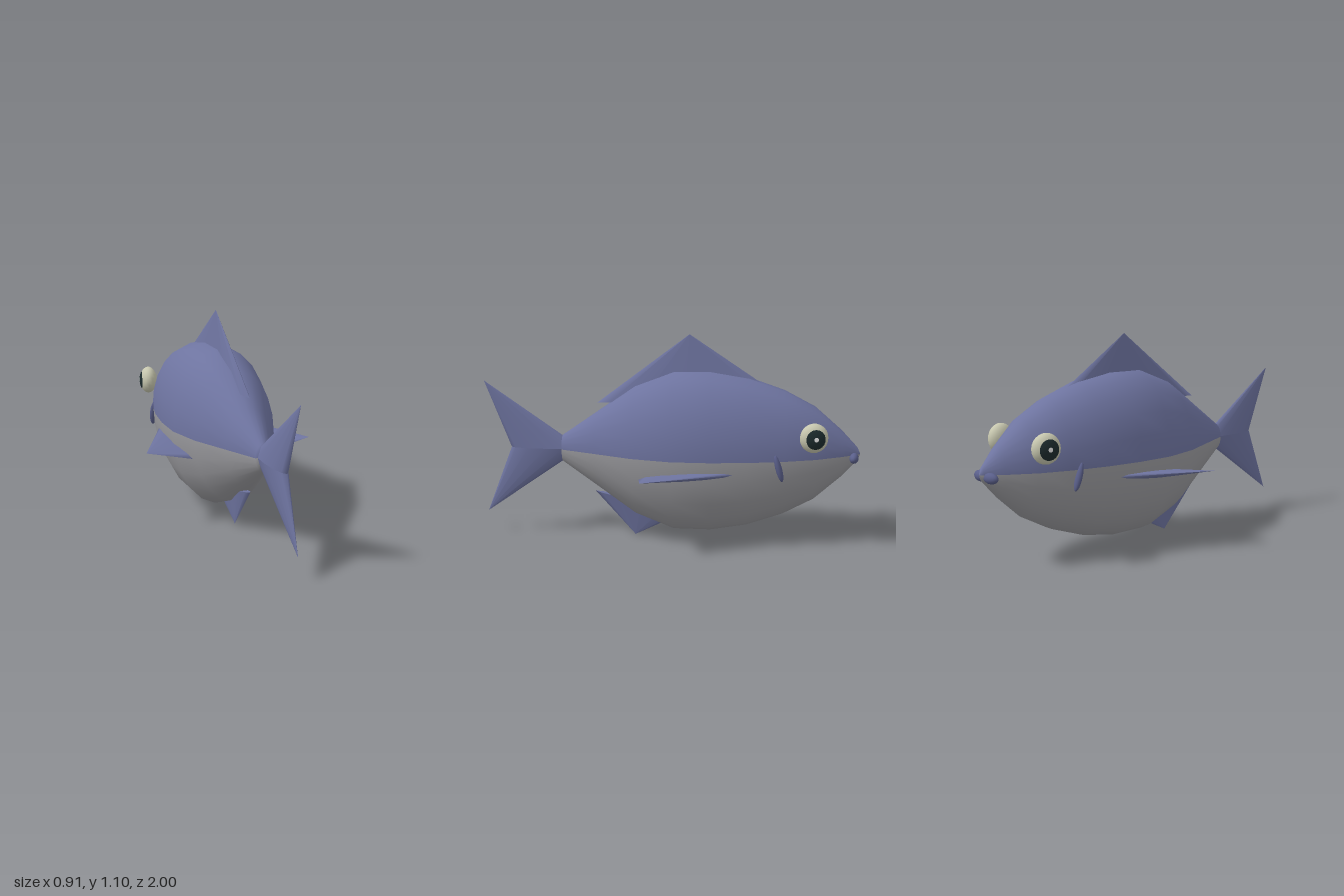
import * as THREE from 'three';

const mat = (name, color) => {
  const m = new THREE.MeshStandardMaterial({ color });
  m.name = name;
  return m;
};
const V = (x, y, z) => new THREE.Vector3(x, y, z);

function buildGeometry(points, index) {
  const g = new THREE.BufferGeometry();
  g.setAttribute('position', new THREE.Float32BufferAttribute(points.flatMap(p => [p.x, p.y, p.z]), 3));
  g.setIndex(index);
  g.computeVertexNormals();
  return g;
}

// Oval rings lofted along z; group 0 is the back, group 1 the belly
function bodyGeometry() {
  const N = 22, MID = 0.48;
  const profile = [ // z, half height
    [0.585, 0.001], [0.58, 0.071], [0.39, 0.204], [0.185, 0.348], [-0.02, 0.428], [-0.215, 0.43],
    [-0.41, 0.397], [-0.6, 0.332], [-0.76, 0.248], [-0.9, 0.126], [-0.985, 0.035], [-1, 0.001],
  ];
  const points = [];
  for (const [z, r] of profile)
    for (let j = 0; j < N; j++) {
      const a = j / N * Math.PI * 2;
      points.push(V(Math.cos(a) * r * 0.63, MID + Math.sin(a) * r, z));
    }
  const halves = [[], []];
  for (let i = 0; i < profile.length - 1; i++)
    for (let j = 0; j < N; j++) {
      const a = i * N + j, b = i * N + (j + 1) % N;
      halves[j < N / 2 ? 0 : 1].push(a, a + N, b, b, a + N, b + N);
    }
  const g = buildGeometry(points, halves.flat());
  g.addGroup(0, halves[0].length, 0);
  g.addGroup(halves[0].length, halves[1].length, 1);
  return g;
}

// Slanted cone: a thin oval base between two ends, drawn out to a tip
function finGeometry(back, front, thick, tip) {
  const N = 12, points = [], index = [];
  const mid = back.clone().add(front).multiplyScalar(0.5);
  const along = back.clone().sub(mid);
  const flip = along.clone().cross(thick).dot(tip.clone().sub(mid)) < 0;
  const ring = () => {
    for (let i = 0; i < N; i++) {
      const a = i / N * Math.PI * 2;
      points.push(mid.clone().addScaledVector(along, Math.cos(a)).addScaledVector(thick, Math.sin(a)));
    }
  };
  const tri = (a, b, c) => index.push(...(flip ? [b, a, c] : [a, b, c]));
  ring();
  for (let i = 0; i < N; i++) {
    points.push(tip);
    tri(i, (i + 1) % N, N + i);
  }
  ring();
  points.push(mid);
  for (let i = 0; i < N; i++) tri(2 * N + (i + 1) % N, 2 * N + i, 3 * N);
  return buildGeometry(points, index);
}

export function createModel() {
  const model = new THREE.Group();
  model.name = 'fish';
  const blue = mat('slate blue', 0x6e74a0);
  const grey = mat('belly grey', 0x97979b);
  const darkBlue = mat('dark blue', 0x5a5f8a);
  const cream = mat('eye cream', 0xc6c6ae);
  const black = mat('pupil black', 0x1c2b2d);
  const white = mat('glint white', 0xe8e8e8);

  const add = (parent, name, geometry, material) => {
    const m = new THREE.Mesh(geometry, material);
    m.name = name;
    parent.add(m);
    return m;
  };
  const ellipsoid = (parent, name, material, pos, radii) => {
    const m = add(parent, name, new THREE.SphereGeometry(1, 16, 12), material);
    m.position.set(...pos);
    m.scale.set(...radii);
    return m;
  };

  add(model, 'body', bodyGeometry(), [blue, grey]);

  // Fins on the centre line
  add(model, 'dorsalFin', finGeometry(V(0, 0.73, 0.39), V(0, 0.8, -0.55), V(0.04, 0, 0), V(0, 1.1, -0.1)), blue);
  add(model, 'analFin', finGeometry(V(0, 0.245, 0.405), V(0, 0.146, -0.1), V(0.03, 0, 0), V(0, 0.005, 0.19)), blue);
  for (const [name, y] of [['upperTailFin', 0.84], ['lowerTailFin', 0.12]])
    add(model, name, finGeometry(V(0, 0.48, 0.86), V(0, 0.48, 0.48), V(0.036, 0, 0), V(0, y, 1)), blue);

  // Paired parts
  for (const [side, s] of [['left', 1], ['right', -1]]) {
    add(model, side + 'PectoralFin',
      finGeometry(V(s * 0.21, 0.37, 0.148), V(s * 0.21, 0.415, -0.43), V(0, 0.025, 0), V(s * 0.455, 0.416, 0.115)), blue);

    const gill = ellipsoid(model, side + 'Gill', darkBlue, [s * 0.212, 0.445, -0.572], [0.022, 0.073, 0.017]);
    gill.rotation.x = 0.28;

    const lip = ellipsoid(model, side + 'Lip', darkBlue, [s * 0.045, 0.466, -0.965], [0.047, 0.027, 0.024]);
    lip.rotation.y = -s * 0.15;

    // Bulging eye, turned slightly towards the nose
    const eye = new THREE.Group();
    eye.name = side + 'Eye';
    eye.position.set(s * 0.19, 0.602, -0.748);
    eye.rotation.y = s > 0 ? 0.2 : Math.PI - 0.2;
    model.add(eye);
    ellipsoid(eye, 'eyeball', cream, [0, 0, 0], [0.05, 0.076, 0.074]);
    const cap = (name, material, angle, grow) => {
      const g = new THREE.SphereGeometry(1, 18, 5, 0, Math.PI * 2, 0, angle);
      g.rotateZ(-Math.PI / 2);
      const m = add(eye, name, g, material);
      m.scale.set(0.05 + grow, 0.076 + grow, 0.074 + grow);
      return m;
    };
    cap('pupil', black, 0.72, 0.002);
    const glint = cap('glint', white, 0.15, 0.004);
    glint.rotation.z = 0.05;
  }
  return model;
}
